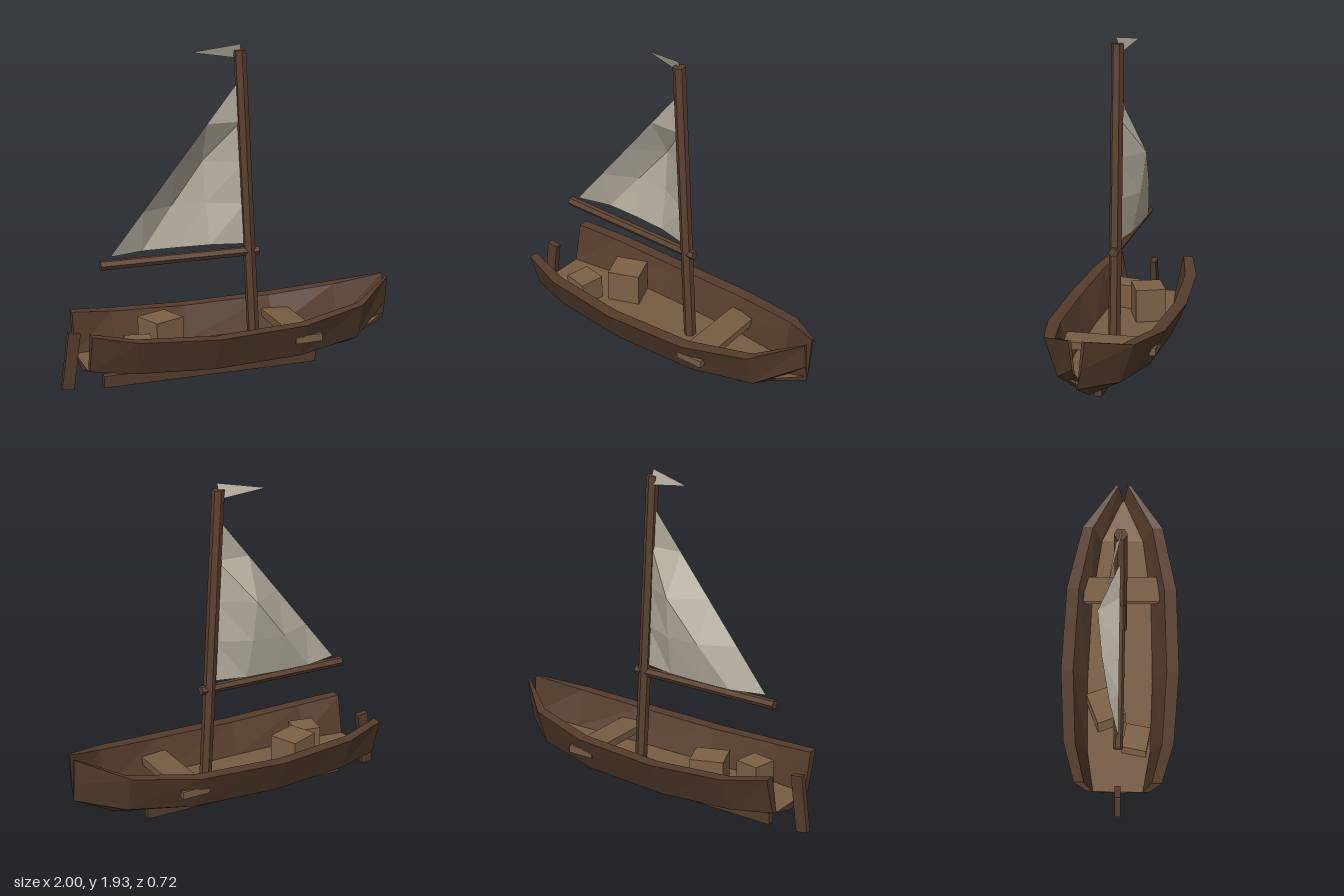
import * as THREE from 'three';

const mat = (color, side = THREE.FrontSide) =>
  new THREE.MeshStandardMaterial({ color, side, flatShading: true });

// Triangles from a list of points and an index list
function facets(points, index) {
  const g = new THREE.BufferGeometry().setFromPoints(points);
  g.setIndex(index);
  const flat = g.toNonIndexed();
  flat.computeVertexNormals();
  return flat;
}

// Two triangles for each cell between neighbouring rows
function loftIndex(rows, cols, closed, skip = -1) {
  const index = [];
  for (let i = 0; i < rows - 1; i++) {
    for (let j = 0; j < (closed ? cols : cols - 1); j++) {
      if (j === skip) continue;
      const k = (j + 1) % cols;
      const a = i * cols + j, b = i * cols + k, c = a + cols, d = b + cols;
      index.push(a, b, c, b, d, c);
    }
  }
  return index;
}

export function createModel() {
  const boat = new THREE.Group();
  boat.name = 'sailboat';
  const darkWood = mat(0x553c2b);
  const mastWood = mat(0x5c412e);
  const deckWood = mat(0x775c43);
  const crateWood = mat(0x7d6145);
  const cloth = mat(0xb5ae9e, THREE.DoubleSide);

  function add(name, geometry, material, position = [0, 0, 0], rotation = [0, 0, 0]) {
    const mesh = new THREE.Mesh(geometry, material);
    mesh.name = name;
    mesh.position.set(...position);
    mesh.rotation.set(...rotation);
    boat.add(mesh);
    return mesh;
  }
  const box = (name, size, material, position, rotation) =>
    add(name, new THREE.BoxGeometry(...size), material, position, rotation);

  // Hull stations, stern to bow:
  // x, gunwale z y, chine z y, keel y, inner rim z, floor z y
  const stations = [
    [-0.88, 0.26, 0.40, 0.19, 0.175, 0.12, 0.20, 0.15, 0.165],
    [-0.63, 0.33, 0.36, 0.245, 0.15, 0.07, 0.26, 0.19, 0.16],
    [-0.17, 0.36, 0.335, 0.27, 0.13, 0.045, 0.285, 0.20, 0.155],
    [0.36, 0.34, 0.35, 0.25, 0.14, 0.06, 0.265, 0.185, 0.16],
    [0.75, 0.25, 0.40, 0.175, 0.18, 0.09, 0.185, 0.13, 0.18],
    [1.0, 0.045, 0.49, 0.025, 0.33, 0.22, 0.028, 0.005, 0.25],
  ];
  const hullPoints = [], deckPoints = [];
  for (const [x, gz, gy, cz, cy, ky, rz, fz, fy] of stations) {
    const ring = [[gz, gy], [cz, cy], [0, ky], [-cz, cy], [-gz, gy],
      [-rz, gy], [-fz, fy], [fz, fy], [rz, gy]];
    hullPoints.push(...ring.map(([z, y]) => new THREE.Vector3(x, y, z)));
    deckPoints.push(new THREE.Vector3(x, fy, -fz), new THREE.Vector3(x, fy, fz));
  }
  const hullIndex = loftIndex(stations.length, 9, true, 6);

  // End faces of the planking, open above the floor
  const cap = [0, 1, 8, 1, 7, 8, 1, 2, 7, 2, 6, 7, 2, 3, 6, 3, 5, 6, 3, 4, 5];
  const bowStart = (stations.length - 1) * 9;
  hullIndex.push(...[...cap].reverse(), ...cap.map((i) => i + bowStart));
  add('hull', facets(hullPoints, hullIndex), darkWood);
  add('deck', facets(deckPoints, loftIndex(stations.length, 2, false)), deckWood);

  // Keel and rudder
  box('keel', [1.305, 0.07, 0.045], darkWood, [-0.1025, 0.035, 0]);
  box('rudder', [0.07, 0.335, 0.036], darkWood, [-0.943, 0.18, 0], [0, 0, -0.135]);

  // Bench and cargo
  box('bench', [0.165, 0.045, 0.61], deckWood, [0.385, 0.255, 0], [0, 0.02, 0]);
  box('largeCrate', [0.195, 0.205, 0.18], crateWood, [-0.385, 0.253, -0.08], [0, 0.38, 0]);
  box('smallCrate', [0.15, 0.15, 0.15], crateWood, [-0.575, 0.23, 0.105], [0, -0.18, 0]);

  // Leaning mast and boom, both six-sided
  const foot = new THREE.Vector2(0.164, 0.15), head = new THREE.Vector2(0.072, 1.9);
  const lean = Math.atan2(foot.x - head.x, head.y - foot.y);
  add('mast', new THREE.CylinderGeometry(0.036, 0.036, foot.distanceTo(head), 6), mastWood,
    [(foot.x + head.x) / 2, (foot.y + head.y) / 2, 0], [0, 0, lean]);
  add('boom', new THREE.CylinderGeometry(0.028, 0.028, 0.95, 6), mastWood,
    [-0.285, 0.725, 0], [0, 0, Math.PI / 2]);

  // Triangular sail in four rows, bellied towards -z
  const belly = [[0, -0.055, -0.055, -0.045, 0], [0, -0.1, -0.095, 0], [0, -0.125, 0], [0, 0], [0]];
  const sailPoints = [], sailIndex = [];
  let start = 0;
  belly.forEach((row, r) => {
    const t = r / 4, n = row.length;
    const leech = THREE.MathUtils.lerp(-0.7, 0.07, t);
    const luff = THREE.MathUtils.lerp(0.115, 0.07, t);
    row.forEach((z, j) => {
      const x = n > 1 ? THREE.MathUtils.lerp(leech, luff, j / (n - 1)) : luff;
      sailPoints.push(new THREE.Vector3(x, 0.77 + 0.96 * t, z));
      if (j < n - 1) sailIndex.push(start + j, start + j + 1, start + n + j);
      if (j < n - 2) sailIndex.push(start + j + 1, start + n + j + 1, start + n + j);
    });
    start += n;
  });
  add('sail', facets(sailPoints, sailIndex), cloth);

  // Pennant at the masthead
  add('pennant', facets([
    new THREE.Vector3(0.075, 1.935, 0.01),
    new THREE.Vector3(-0.2, 1.89, -0.06),
    new THREE.Vector3(0.075, 1.85, -0.02),
  ], [0, 1, 2]), cloth);

  return boat;
}
